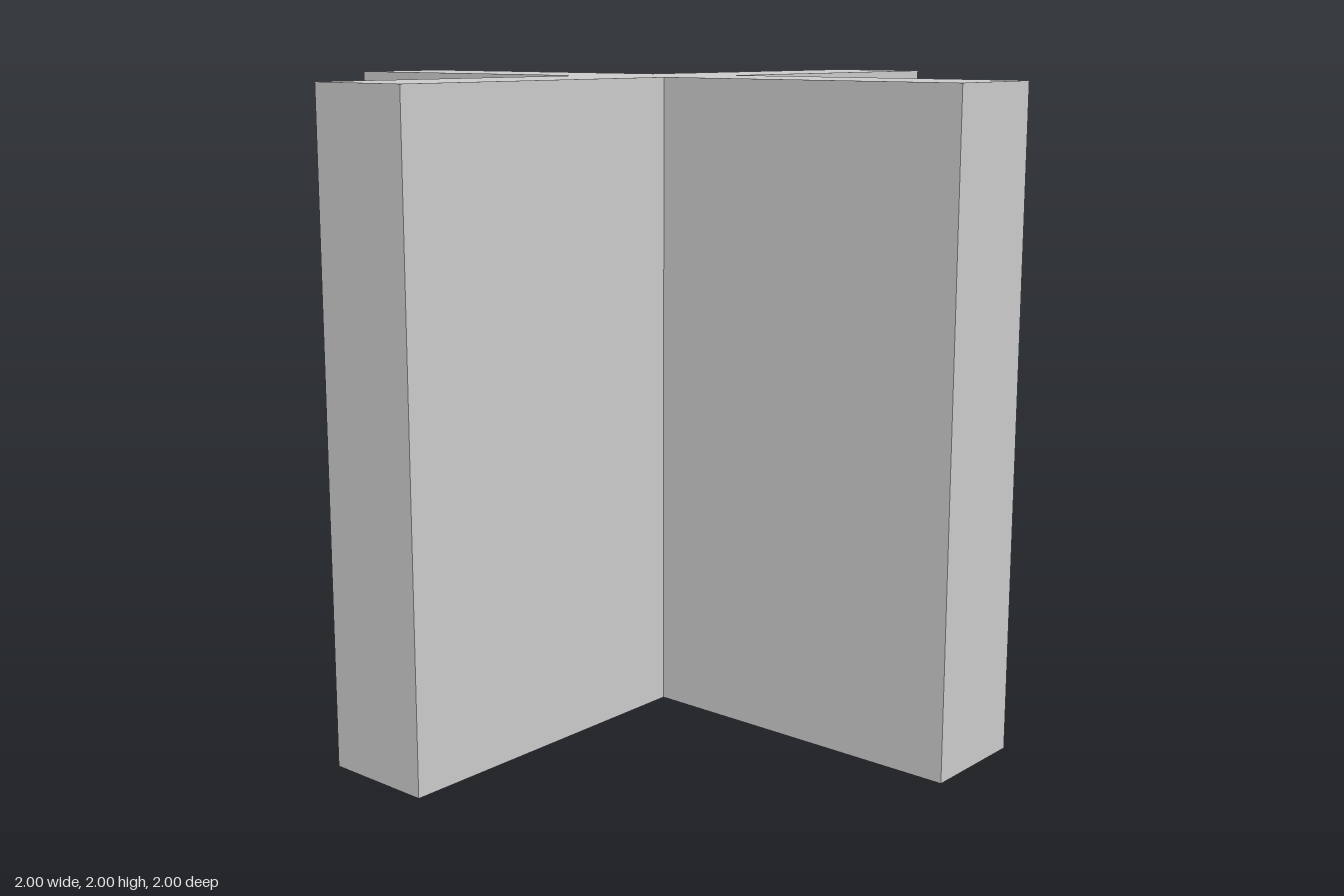
import * as THREE from 'three';

const HEIGHT = 2, TIP = 1, NOTCH = 0.25; // half extent of the cross, inner corner distance

export function createModel() {
  const group = new THREE.Group();
  group.name = 'crossBlock';

  // Diagonal cross outline: one inner corner and two arm-tip corners per quarter turn
  const quarter = [[NOTCH, 0], [TIP, TIP - NOTCH], [TIP - NOTCH, TIP]];
  const points = [];
  for (let i = 0; i < 4; i++) {
    for (const [x, y] of quarter) {
      points.push(new THREE.Vector2(x, y).rotateAround(new THREE.Vector2(), i * Math.PI / 2));
    }
  }

  // Extruded straight up from the ground
  const geometry = new THREE.ExtrudeGeometry(new THREE.Shape(points), { depth: HEIGHT, bevelEnabled: false });
  geometry.rotateX(-Math.PI / 2);
  const cross = new THREE.Mesh(geometry, new THREE.MeshStandardMaterial({ color: 0xcccccc, flatShading: true }));
  cross.name = 'crossedWalls';
  group.add(cross);
  return group;
}
